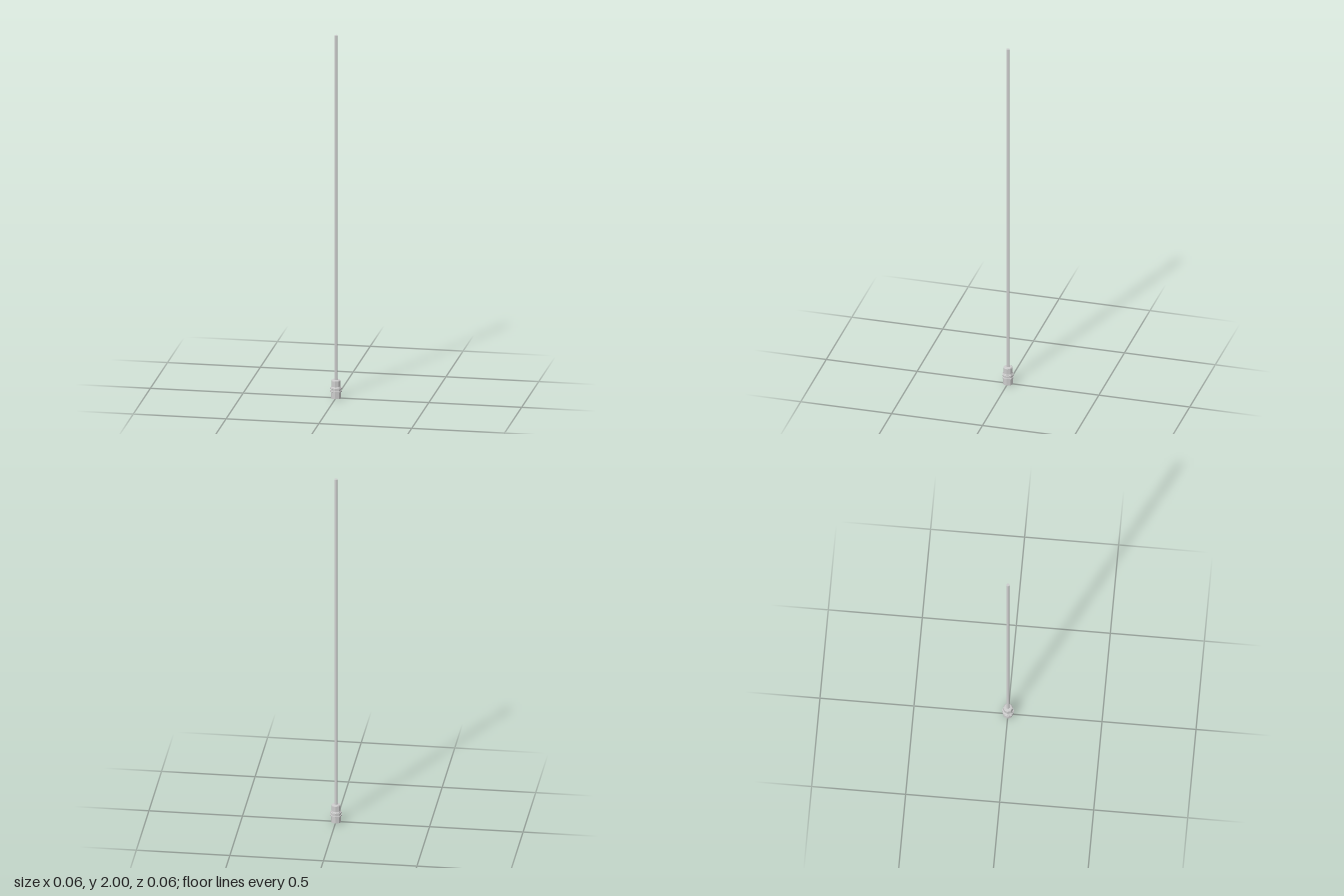
import * as THREE from 'three';

const SIDES = 8;

export function createModel() {
  const group = new THREE.Group();
  const material = new THREE.MeshStandardMaterial({ color: 0xcccccc, flatShading: true });

  // Revolve a [radius, height] profile, listed from bottom to top
  const turned = (name, profile) => {
    const points = profile.map(([r, y]) => new THREE.Vector2(r, y));
    const mesh = new THREE.Mesh(new THREE.LatheGeometry(points, SIDES), material);
    mesh.name = name;
    group.add(mesh);
  };

  // Connector body: wide foot, narrower neck and a slightly sloped shoulder
  turned('connectorBase', [
    [0, 0], [0.028, 0], [0.028, 0.06], [0.025, 0.065],
    [0.025, 0.096], [0.022, 0.1], [0, 0.102],
  ]);

  // Raised grip rings around the connector
  for (const y of [0.038, 0.054]) {
    turned('gripRing', [
      [0.026, y - 0.005], [0.0315, y - 0.003], [0.0315, y + 0.003], [0.026, y + 0.005],
    ]);
  }

  // Long slim rod
  turned('rod', [[0.009, 0.095], [0.009, 1.998], [0.008, 2], [0, 2]]);

  return group;
}
